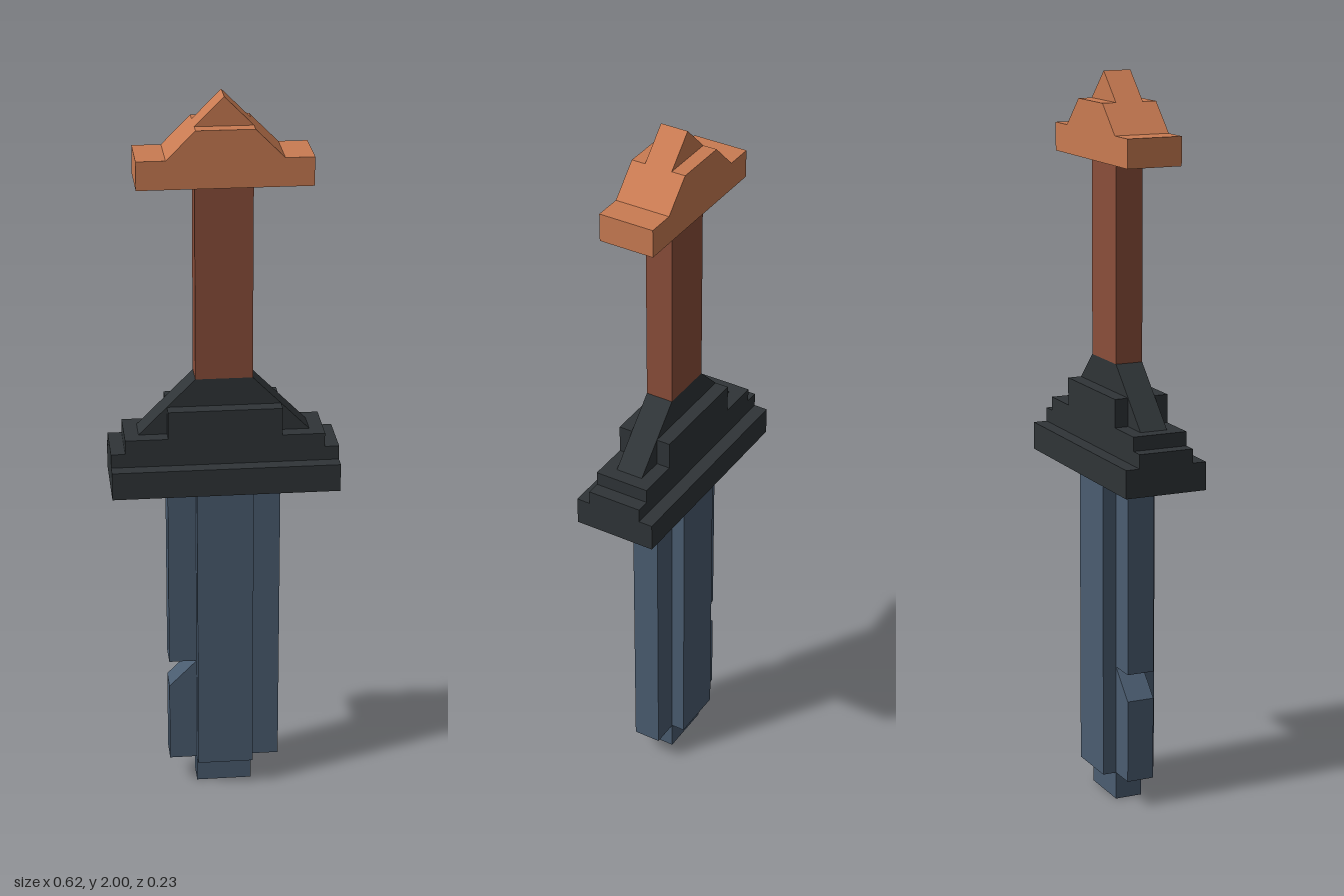
import * as THREE from 'three';

const U = 1 / 13; // the model sits on a grid of 26 units in height

const paint = (color) => new THREE.MeshStandardMaterial({ color, flatShading: true });

// Box spanning +-halfX, y0..y1, +-halfZ in grid units
function block(name, halfX, y0, y1, halfZ, material) {
  const geometry = new THREE.BoxGeometry(2 * halfX * U, (y1 - y0) * U, 2 * halfZ * U);
  geometry.translate(0, ((y0 + y1) / 2) * U, 0);
  const mesh = new THREE.Mesh(geometry, material);
  mesh.name = name;
  return mesh;
}

// Front outline extruded to +-halfZ, in grid units
function plate(name, points, halfZ, material) {
  const shape = new THREE.Shape(points.map(([x, y]) => new THREE.Vector2(x * U, y * U)));
  const geometry = new THREE.ExtrudeGeometry(shape, { depth: 2 * halfZ * U, bevelEnabled: false });
  geometry.translate(0, 0, -halfZ * U);
  const mesh = new THREE.Mesh(geometry, material);
  mesh.name = name;
  return mesh;
}

function part(name, ...meshes) {
  const group = new THREE.Group();
  group.name = name;
  group.add(...meshes);
  return group;
}

export function createModel() {
  const steel = paint(0x4a5c70);
  const iron = paint(0x2f3437);
  const leather = paint(0x8a4e3a);
  const copper = paint(0xc97b52);

  const model = new THREE.Group();
  model.name = 'sword';

  // Blade pointing down: thick ridge, thin edges (one notched), short tip
  model.add(part('blade',
    block('bladeRidge', 1, 1, 12, 1, steel),
    plate('leftEdge', [[1, 1], [2, 1], [2, 12], [1, 12]], 0.5, steel),
    plate('notchedEdge', [[-2, 1], [-1, 1], [-1, 12], [-2, 12], [-2, 5], [-1, 5], [-2, 4]], 0.5, steel),
    block('bladeTip', 1, 0, 1, 0.5, steel),
  ));

  // Stepped guard with a narrow sloped collar on top
  model.add(part('guard',
    block('guardBase', 4, 12, 13, 1.5, iron),
    block('guardStep', 4, 13, 13.5, 1, iron),
    block('guardUpperStep', 3.5, 13.5, 14, 1, iron),
    block('guardBlock', 2, 14, 15, 1, iron),
    plate('guardCollar', [[-3, 14], [3, 14], [1, 16], [-1, 16]], 0.5, iron),
  ));

  model.add(block('grip', 1, 16, 23, 0.5, leather));

  // Pommel: wide bar, sloped shoulders, narrow peak
  model.add(part('pommel',
    plate('pommelBody', [[-3, 23], [3, 23], [3, 24], [2, 24], [1, 25], [-1, 25], [-2, 24], [-3, 24]], 1, copper),
    plate('pommelPeak', [[-1, 25], [1, 25], [0, 26]], 0.5, copper),
  ));

  return model;
}
